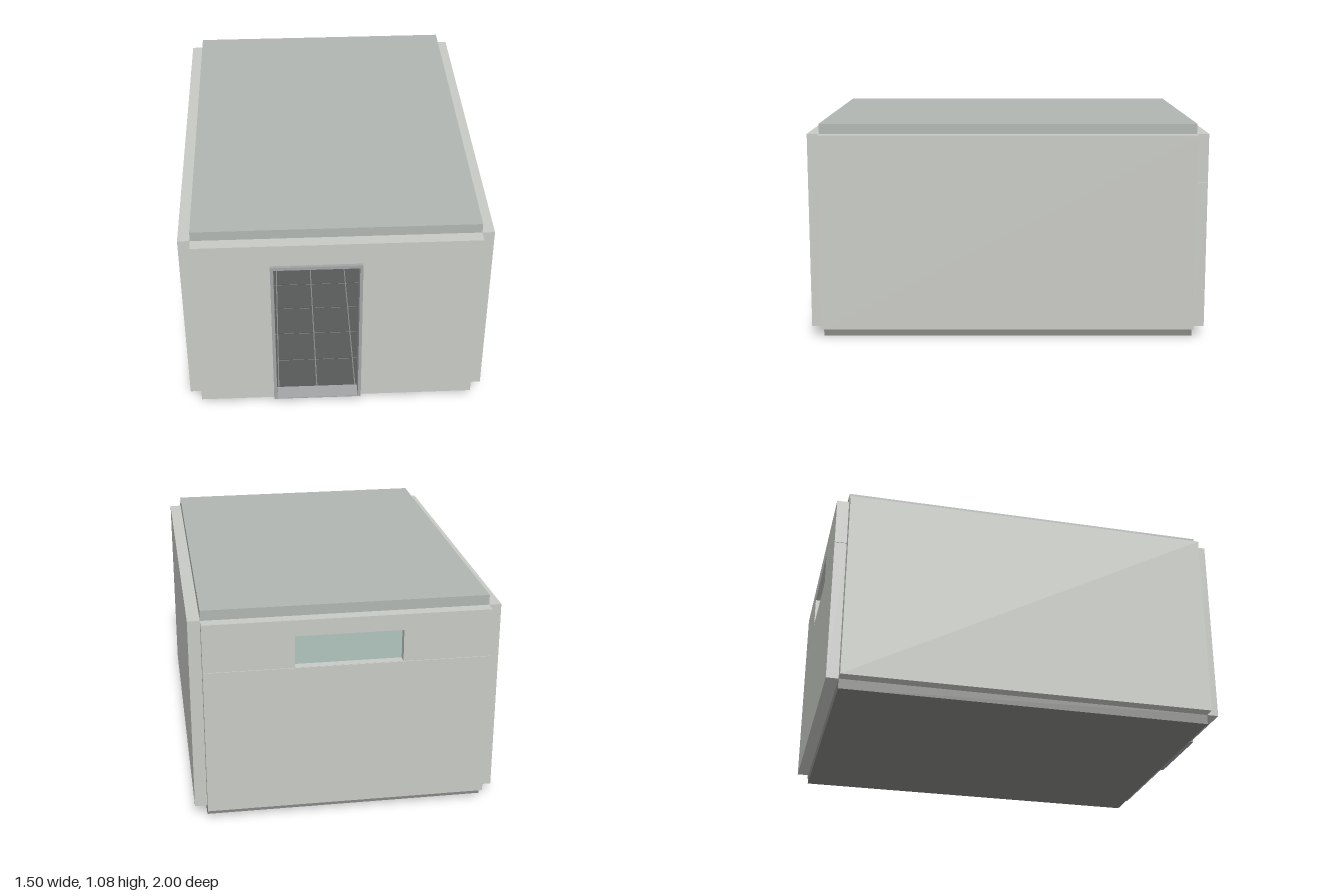
import * as THREE from 'three';

const paint = (color) => new THREE.MeshStandardMaterial({ color });
const MAT = {
  wall: paint(0xc8cac5), roof: paint(0xb0b6b2), base: paint(0x868683), tile: paint(0x565a58),
  grey: paint(0xcccccc), trim: paint(0xa2a5a6), lining: paint(0xf4f4f2), glass: paint(0xafc4bc),
  green: paint(0x4a8372), dark: paint(0x263034), red: paint(0x8c2b2b), blue: paint(0x22588f),
};

function add(parent, name, geometry, material, x = 0, y = 0, z = 0) {
  const mesh = new THREE.Mesh(geometry, material);
  mesh.name = name;
  mesh.position.set(x, y, z);
  parent.add(mesh);
  return mesh;
}

// Box given by its minimum and maximum on each axis
function box(parent, name, material, x0, x1, y0, y1, z0, z1) {
  return add(parent, name, new THREE.BoxGeometry(x1 - x0, y1 - y0, z1 - z0), material,
    (x0 + x1) / 2, (y0 + y1) / 2, (z0 + z1) / 2);
}

function rect(Type, [x0, x1, y0, y1]) {
  const r = new Type();
  r.moveTo(x0, y0).lineTo(x1, y0).lineTo(x1, y1).lineTo(x0, y1).closePath();
  return r;
}

// Upright panel with rectangular holes, spanning z0 to z1
function panel(parent, name, material, outer, holes, z0, z1) {
  const shape = rect(THREE.Shape, outer);
  shape.holes = holes.map((h) => rect(THREE.Path, h));
  const geometry = new THREE.ExtrudeGeometry(shape, { depth: z1 - z0, bevelEnabled: false });
  return add(parent, name, geometry, material, 0, 0, z0);
}

// Round machine door facing local +z, hinged at its left edge
function machineDoor(angle) {
  const hinge = new THREE.Group();
  hinge.name = 'machineDoor';
  const R = 0.115;
  const ring = [[0.088, 0], [R - 0.005, 0], [R, 0.006], [R - 0.003, 0.018], [R - 0.012, 0.026],
    [0.094, 0.024], [0.088, 0.014], [0.088, 0]].map(([r, y]) => new THREE.Vector2(r, y));
  add(hinge, 'doorRing', new THREE.LatheGeometry(ring, 40), MAT.trim, R).rotation.x = Math.PI / 2;
  const bowl = [[0, 0.002], [0.09, 0.002], [0.09, 0.014], [0.06, 0.02], [0, 0.023]]
    .map(([r, y]) => new THREE.Vector2(r, y));
  add(hinge, 'doorGlass', new THREE.LatheGeometry(bowl, 40), MAT.dark, R).rotation.x = Math.PI / 2;
  const grip = new THREE.CatmullRomCurve3([[0, -0.03, 0.018], [0.006, -0.015, 0.034],
    [0.006, 0.015, 0.034], [0, 0.03, 0.018]].map((p) => new THREE.Vector3(...p)));
  add(hinge, 'doorHandle', new THREE.TubeGeometry(grip, 12, 0.005, 8), MAT.grey, R + 0.088);
  hinge.rotation.y = -angle;
  return hinge;
}

// Front-loading machine facing local +z, standing on its local origin
function machine(doorAngle) {
  const g = new THREE.Group();
  g.name = 'washingMachine';
  const W = 0.145, H = 0.362;
  box(g, 'cabinet', MAT.grey, -W, W, 0, H, -0.32, 0);
  box(g, 'controlPanel', MAT.trim, -W + 0.01, W - 0.01, H - 0.05, H - 0.01, 0, 0.004);
  box(g, 'display', MAT.dark, -0.03, 0.05, H - 0.04, H - 0.02, 0.004, 0.007);
  box(g, 'soapDrawer', MAT.grey, -0.13, -0.06, H - 0.045, H - 0.015, 0.004, 0.008);
  add(g, 'dial', new THREE.CylinderGeometry(0.013, 0.015, 0.014, 20), MAT.grey, 0.095, H - 0.03, 0.01)
    .rotation.x = Math.PI / 2;
  add(g, 'drumOpening', new THREE.CylinderGeometry(0.086, 0.086, 0.004, 40), MAT.dark, 0, 0.19, 0.001)
    .rotation.x = Math.PI / 2;
  const door = machineDoor(doorAngle);
  door.position.set(-0.115, 0.19, 0.002);
  g.add(door);
  return g;
}

export function createModel() {
  const room = new THREE.Group();
  room.name = 'laundryRoom';

  // Shell: slabs and side walls, with notched corners
  box(room, 'floorSlab', MAT.base, -0.69, 0.69, 0, 0.05, -0.94, 0.925);
  box(room, 'roofSlab', MAT.roof, -0.69, 0.69, 1.03, 1.08, -0.94, 0.925);
  for (const s of [-1, 1]) {
    box(room, 'sideWall', MAT.wall, s * 0.72 - 0.03, s * 0.72 + 0.03, 0.05, 1.03, -0.94, 0.925);
  }

  // Front wall in three pieces around the doorway
  box(room, 'frontWallLeft', MAT.wall, 0.115, 0.69, 0.05, 1.03, 0.925, 0.985);
  box(room, 'frontWallRight', MAT.wall, -0.69, -0.312, 0.05, 1.03, 0.925, 0.985);
  box(room, 'doorLintel', MAT.wall, -0.312, 0.115, 0.905, 1.03, 0.925, 0.985);
  panel(room, 'doorFrame', MAT.trim, [-0.32, 0.123, 0.05, 0.912], [[-0.304, 0.108, 0.055, 0.895]], 0.92, 1);

  // Back wall: plain lower part, upper part with the window
  const opening = [-0.265, 0.255, 0.791, 0.95];
  box(room, 'backWallLower', MAT.wall, -0.69, 0.69, 0.05, 0.788, -1, -0.94);
  panel(room, 'backWallUpper', MAT.wall, [-0.69, 0.69, 0.79, 1.03], [opening], -1, -0.94);
  panel(room, 'backLining', MAT.lining, [-0.69, 0.69, 0.05, 1.03], [opening], -0.94, -0.936);
  box(room, 'windowGlass', MAT.glass, -0.265, 0.255, 0.79, 0.95, -0.958, -0.95);
  panel(room, 'windowFrame', MAT.green, [-0.28, 0.28, 0.775, 0.965],
    [[-0.258, -0.01, 0.796, 0.945], [0.01, 0.258, 0.796, 0.945]], -0.949, -0.925);

  // Tiled floor
  const nx = 7, nz = 9, px = 1.38 / nx, pz = 1.86 / nz;
  for (let i = 0; i < nx; i++) {
    for (let k = 0; k < nz; k++) {
      add(room, 'floorTile', new THREE.BoxGeometry(px - 0.006, 0.004, pz - 0.006), MAT.tile,
        -0.69 + (i + 0.5) * px, 0.051, -0.935 + (k + 0.5) * pz);
    }
  }

  // Two-high row of machines along one side wall; one door per level stands open
  for (let i = 0; i < 6; i++) {
    for (let level = 0; level < 2; level++) {
      const openAngle = level === 0 ? 1.01 : 0.68;
      const m = machine(i === 4 ? openAngle : 0);
      m.position.set(-0.365, 0.053 + level * 0.365, 0.71 - i * 0.3);
      m.rotation.y = Math.PI / 2;
      room.add(m);
    }
  }

  // Red cabinet on the back wall
  box(room, 'wallCabinet', MAT.red, 0.035, 0.3, 0.33, 0.64, -0.936, -0.83);

  // Mop leaning against the back
  const mop = new THREE.Group();
  mop.name = 'mop';
  const head = add(mop, 'mopHead', new THREE.CapsuleGeometry(0.016, 0.078, 6, 16), MAT.red, 0.013, 0.073, -0.7);
  head.rotation.z = Math.PI / 2;
  const handle = new THREE.LineCurve3(new THREE.Vector3(0.015, 0.085, -0.7), new THREE.Vector3(0.065, 0.76, -0.8));
  add(mop, 'mopHandle', new THREE.TubeGeometry(handle, 1, 0.006, 12), MAT.blue);
  add(mop, 'mopHandleCap', new THREE.SphereGeometry(0.006, 12, 8), MAT.blue, 0.065, 0.76, -0.8);
  room.add(mop);

  return room;
}
